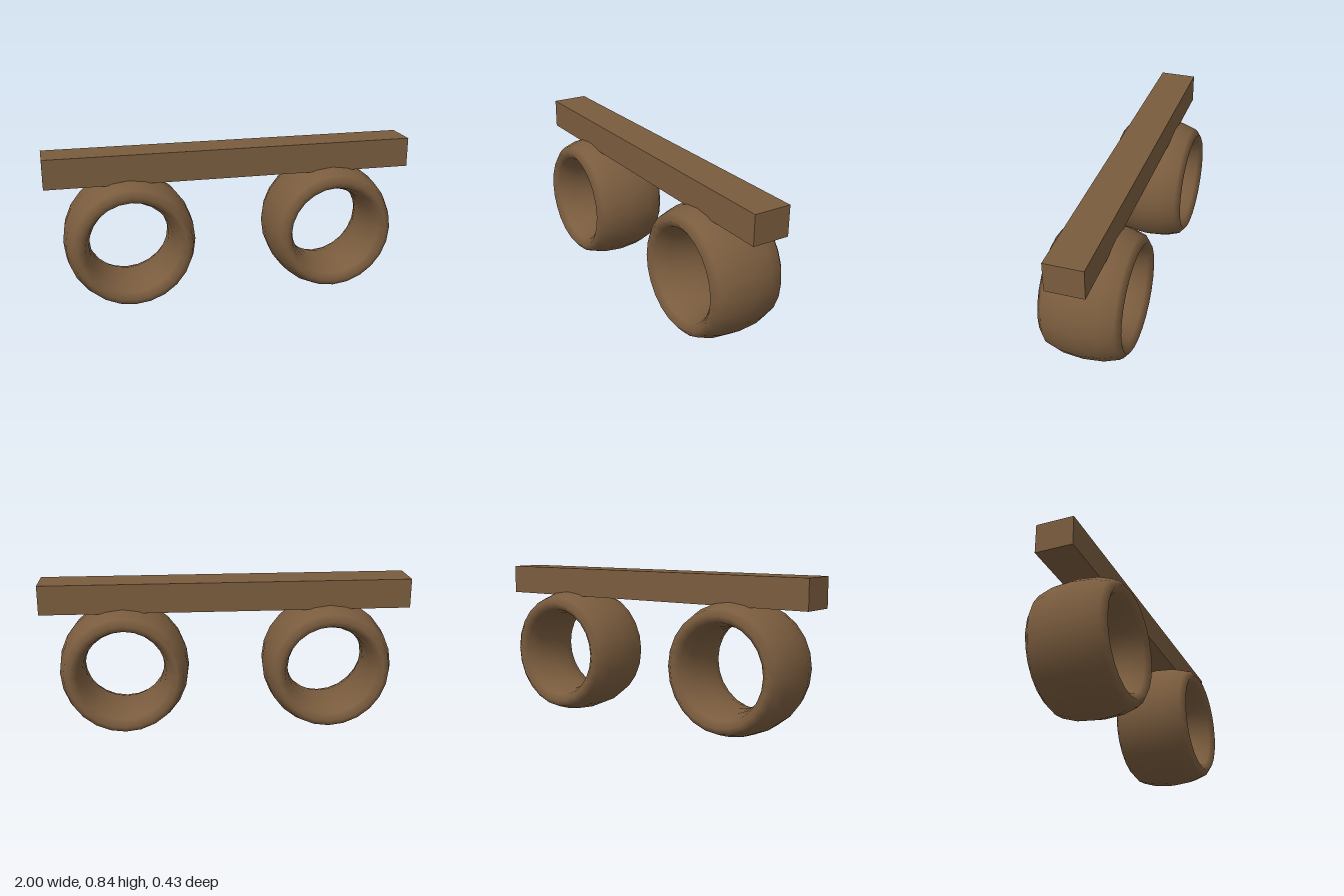
import * as THREE from 'three';

export function createModel() {
  const model = new THREE.Group();
  const brown = new THREE.MeshStandardMaterial({ color: 0x7a5c3e });
  brown.name = 'brown';

  // Straight beam across the top
  const beam = new THREE.Mesh(new THREE.BoxGeometry(2, 0.159, 0.2), brown);
  beam.name = 'beam';
  beam.position.y = 0.7625;
  model.add(beam);

  // Two rings, stretched along z into rounded sleeves
  const ringShape = new THREE.TorusGeometry(0.286, 0.069, 12, 24);
  ringShape.scale(1, 1, 0.215 / 0.069);
  for (const [name, side] of [['leftRing', 1], ['rightRing', -1]]) {
    const ring = new THREE.Mesh(ringShape, brown);
    ring.name = name;
    ring.position.set(side * 0.56, 0.358, 0);
    model.add(ring);
  }
  return model;
}
